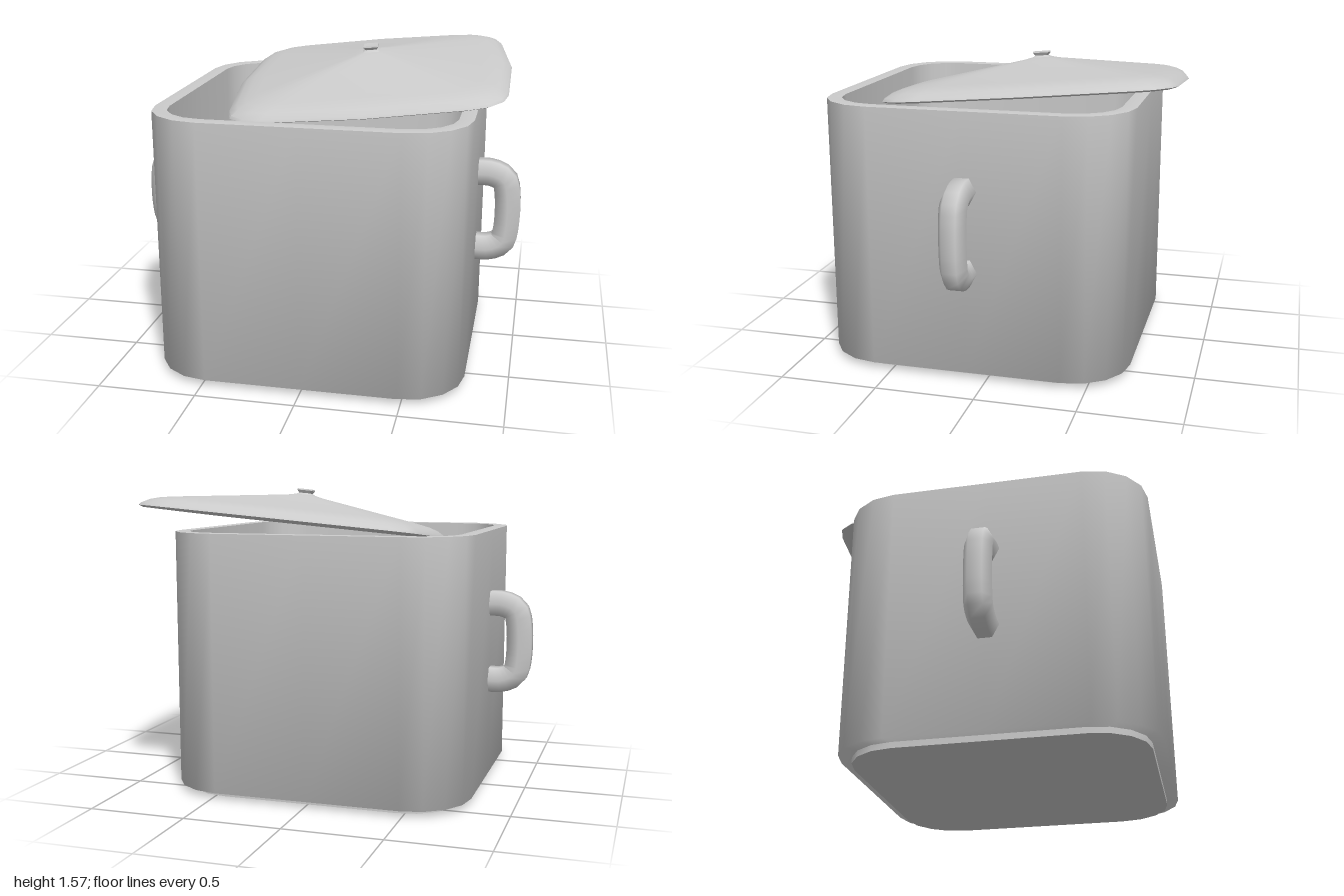
import * as THREE from 'three';
import { toCreasedNormals } from 'three/addons/utils/BufferGeometryUtils.js';

const material = new THREE.MeshStandardMaterial({ color: 0xcccccc });

// Rounded square in the xz plane; bulge pushes the middle of each side outward
function ring(half, radius, segments, bulge) {
  const points = [];
  const inner = half - radius;
  for (let k = 0; k < 4; k++) {
    const start = k * Math.PI / 2;
    const middle = start + Math.PI / 4;
    const cx = inner * Math.SQRT2 * Math.cos(middle);
    const cz = inner * Math.SQRT2 * Math.sin(middle);
    for (let i = 0; i <= segments; i++) {
      const a = start + (i / segments) * Math.PI / 2;
      points.push([cx + radius * Math.cos(a), cz + radius * Math.sin(a)]);
    }
    const side = start + Math.PI / 2;
    points.push([(half + bulge) * Math.cos(side), (half + bulge) * Math.sin(side)]);
  }
  return points;
}

// Skin through rounded-square rings; profile rows are [half size, y, corner radius, bulge]
function loft(profile, segments) {
  const position = [], index = [];
  let count = 0;
  for (const [half, y, radius, bulge = 0] of profile) {
    const points = ring(half, radius, segments, bulge);
    count = points.length;
    for (const [x, z] of points) position.push(x, y, z);
  }
  for (let i = 0; i < profile.length - 1; i++) {
    for (let j = 0; j < count; j++) {
      const a = i * count + j, b = i * count + (j + 1) % count;
      const c = a + count, d = b + count;
      index.push(a, c, b, b, c, d);
    }
  }
  const geometry = new THREE.BufferGeometry();
  geometry.setAttribute('position', new THREE.Float32BufferAttribute(position, 3));
  geometry.setIndex(index);
  geometry.computeVertexNormals();
  return geometry;
}

function addMesh(parent, name, geometry) {
  const mesh = new THREE.Mesh(geometry, material);
  mesh.name = name;
  parent.add(mesh);
  return mesh;
}

function createPot() {
  const pot = new THREE.Group();
  pot.name = 'pot';
  pot.position.z = 0.11;

  // Outer wall and underside, shaded smoothly together
  addMesh(pot, 'outerWall', loft([
    [0, 0.03, 0], [0.783, 0.03, 0.3], [0.783, 1.35, 0.3],
  ], 4));

  // Rim, inner wall and floor
  addMesh(pot, 'rimAndInside', toCreasedNormals(loft([
    [0.783, 1.35, 0.3], [0.75, 1.353, 0.27], [0.71, 1.35, 0.23],
    [0.71, 0.08, 0.23], [0, 0.08, 0],
  ], 4), 0.6));

  // Thin foot plate
  addMesh(pot, 'foot', toCreasedNormals(loft([
    [0, 0, 0], [0.725, 0, 0.27], [0.725, 0.03, 0.27],
  ], 4), 0.6));

  // Two side handles
  const path = new THREE.CatmullRomCurve3([
    [0.74, 0.962], [0.85, 0.962], [0.915, 0.93], [0.935, 0.86],
    [0.935, 0.66], [0.915, 0.59], [0.85, 0.557], [0.74, 0.557],
  ].map(([x, y]) => new THREE.Vector3(x, y, 0)));
  for (const side of [1, -1]) {
    const geometry = new THREE.TubeGeometry(path, 22, 0.075, 6);
    geometry.scale(1, 1, 0.93);
    if (side < 0) geometry.rotateY(Math.PI);
    addMesh(pot, side > 0 ? 'leftHandle' : 'rightHandle', geometry);
  }
  return pot;
}

function createLid() {
  const lid = new THREE.Group();
  lid.name = 'lid';
  const size = 0.7;

  // Hollow shell: underside from the middle out, round the rim, up the low pyramid
  const shell = [
    [0, 0.125], [0.12, 0.118], [0.8, 0.04], [0.93, 0.008], [0.975, -0.008],
    [1, 0], [0.99, 0.012], [0.94, 0.034], [0.88, 0.049], [0.8, 0.06],
    [0.12, 0.138], [0.07, 0.147], [0, 0.147],
  ].map(([s, y]) => [s * size, y, 0.2 * s, 0.035 * s]);
  addMesh(lid, 'lidShell', toCreasedNormals(loft(shell, 3), 0.6));

  // Small square knob with a waist
  addMesh(lid, 'lidKnob', toCreasedNormals(loft([
    [0.052, 0.143, 0.006], [0.03, 0.156, 0.004], [0.04, 0.17, 0.005],
    [0.038, 0.177, 0.005], [0, 0.175, 0],
  ], 1), 0.6));

  // Lying askew across the opening
  const up = new THREE.Vector3(0, 1, 0);
  const tilted = new THREE.Vector3(-0.085, 1, 0.085).normalize();
  lid.quaternion.setFromUnitVectors(up, tilted)
    .multiply(new THREE.Quaternion().setFromAxisAngle(up, 0.083));
  lid.position.set(0.185, 1.385, -0.145);
  return lid;
}

export function createModel() {
  const model = new THREE.Group();
  model.name = 'cookingPot';
  model.add(createPot(), createLid());
  return model;
}
